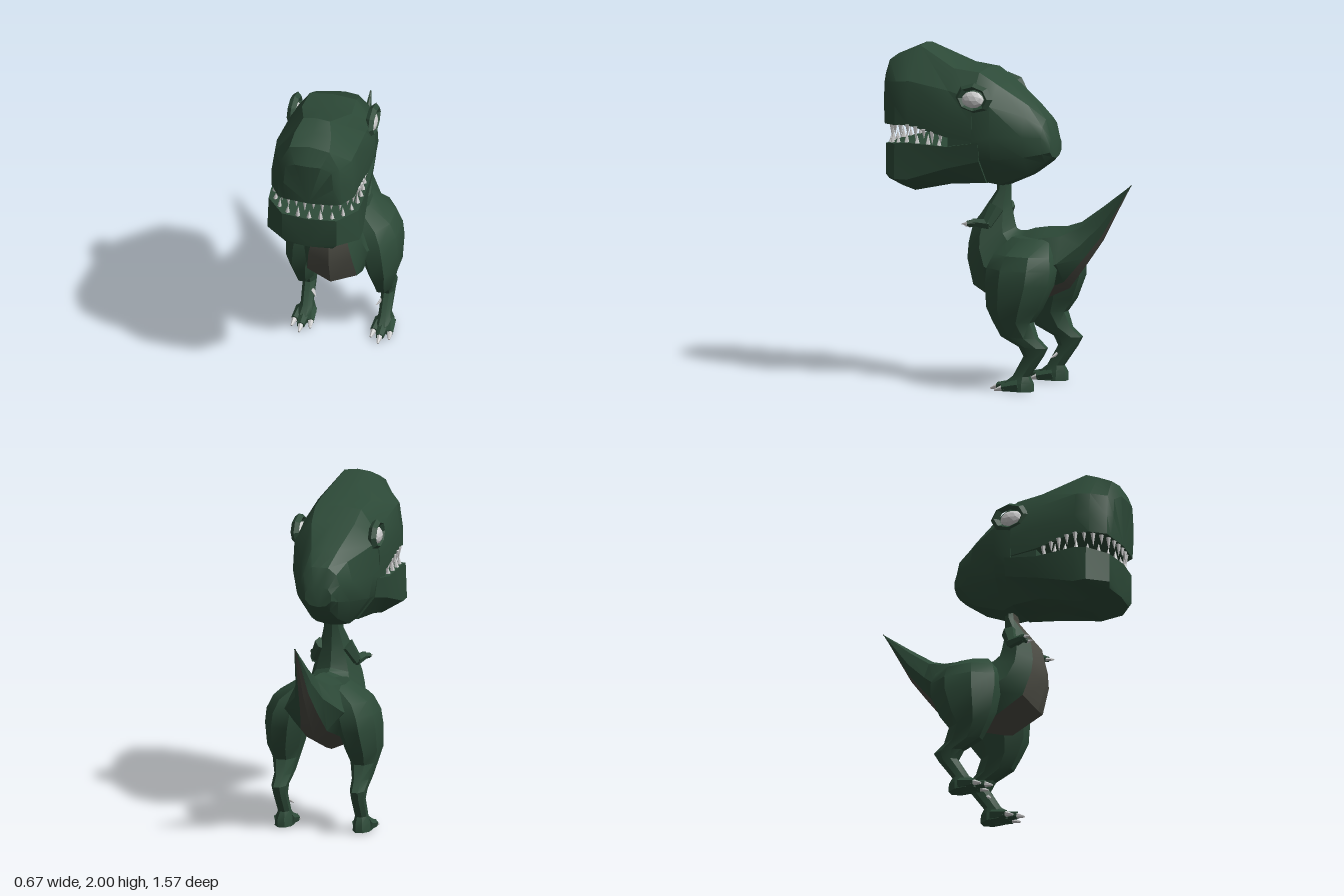
import * as THREE from 'three';
import { toCreasedNormals } from 'three/addons/utils/BufferGeometryUtils.js';

const skin = new THREE.MeshStandardMaterial({ color: 0x2d4a38, side: THREE.DoubleSide });
const bellySkin = new THREE.MeshStandardMaterial({ color: 0x4a4a42, side: THREE.DoubleSide });
const grey = new THREE.MeshStandardMaterial({ color: 0xcccccc, flatShading: true });

function add(parent, name, geometry, material) {
  const mesh = new THREE.Mesh(geometry, material);
  mesh.name = name;
  parent.add(mesh);
  return mesh;
}

// Skin over closed rings of [x, y, z]; keep(i) picks the columns to cover
function loft(rings, keep = () => true, caps = true) {
  const n = rings[0].length, index = [];
  for (let k = 0; k < rings.length - 1; k++) {
    for (let i = 0; i < n; i++) {
      if (!keep(i, n)) continue;
      const j = (i + 1) % n, a = k * n + i, b = k * n + j, c = b + n, d = a + n;
      index.push(a, b, c, a, c, d);
    }
  }
  if (caps) {
    const top = (rings.length - 1) * n;
    for (let i = 1; i < n - 1; i++) index.push(0, i + 1, i, top, top + i, top + i + 1);
  }
  const geo = new THREE.BufferGeometry();
  geo.setAttribute('position', new THREE.Float32BufferAttribute(rings.flat(2), 3));
  geo.setIndex(index);
  return toCreasedNormals(geo, 0.5);
}

// Full ring from a half outline running bottom centre -> +x side -> top centre
function mirrorRing(z, half) {
  const right = half.map(([x, y, pz = z]) => [x, y, pz]);
  const left = right.slice(1, -1).reverse().map(([x, y, pz]) => [-x, y, pz]);
  return [...right, ...left];
}

// Tapered segment between two points
function bone(parent, name, a, b, ra, rb, material, sides = 6) {
  const from = new THREE.Vector3(...a), dir = new THREE.Vector3(...b).sub(from);
  const geo = new THREE.CylinderGeometry(rb, ra, dir.length(), sides);
  const mesh = add(parent, name, material === grey ? geo : toCreasedNormals(geo, 0.5), material);
  mesh.position.copy(from).addScaledVector(dir, 0.5);
  mesh.quaternion.setFromUnitVectors(new THREE.Vector3(0, 1, 0), dir.normalize());
  return mesh;
}

function buildBody(parent) {
  // [belly z, belly y, back z, back y, half width, belly half width], tail tip to neck
  const rings = [
    [-0.775, 1.235, -0.785, 1.24, 0.004, 0.002],
    [-0.6, 0.9, -0.6, 1.1, 0.048, 0.03],
    [-0.5, 0.76, -0.46, 1.0, 0.085, 0.05],
    [-0.38, 0.6, -0.37, 0.97, 0.18, 0.08],
    [-0.25, 0.54, -0.25, 0.96, 0.22, 0.1],
    [-0.12, 0.48, -0.16, 0.945, 0.21, 0.12],
    [0, 0.44, -0.1, 0.925, 0.2, 0.14],
    [0.21, 0.56, -0.06, 0.925, 0.19, 0.15],
    [0.26, 0.73, -0.03, 0.94, 0.165, 0.13],
    [0.26, 0.83, -0.02, 0.97, 0.15, 0.11],
    [0.235, 0.95, -0.01, 1.03, 0.12, 0.09],
    [0.19, 1.01, 0, 1.08, 0.1, 0.06],
    [0.08, 1.16, 0.005, 1.18, 0.06, 0.045],
    [0.08, 1.25, 0, 1.25, 0.06, 0.045],
  ].map(([zb, yb, zt, yt, w, bw]) => mirrorRing(0,
    [[0, 0], [bw, 0.13], [w, 0.45], [w * 0.6, 0.87], [0, 1]]
      .map(([x, t]) => [x, yb + (yt - yb) * t, zb + (zt - zb) * t])));
  const isBelly = (i, n) => i === 0 || i === n - 1;
  add(parent, 'bodyAndTail', loft(rings, (i, n) => !isBelly(i, n)), skin);
  add(parent, 'belly', loft(rings, isBelly, false), bellySkin);
}

function buildHead(parent) {
  const head = new THREE.Group();
  head.name = 'head';
  parent.add(head);

  add(head, 'cranium', loft([
    mirrorRing(-0.29, [[0, 1.37], [0.05, 1.38], [0.08, 1.41], [0.08, 1.45], [0.06, 1.48], [0.03, 1.49], [0, 1.49]]),
    mirrorRing(-0.25, [[0, 1.33], [0.06, 1.34], [0.11, 1.4], [0.12, 1.5], [0.1, 1.56], [0.05, 1.6], [0, 1.6]]),
    mirrorRing(-0.15, [[0, 1.26], [0.08, 1.27], [0.155, 1.38], [0.17, 1.5], [0.14, 1.62], [0.08, 1.68], [0, 1.69]]),
    mirrorRing(0.03, [[0, 1.18], [0.1, 1.2], [0.22, 1.36], [0.245, 1.5], [0.235, 1.68], [0.13, 1.8], [0, 1.81]]),
    mirrorRing(0.14, [[0, 1.21], [0.13, 1.22], [0.235, 1.36], [0.255, 1.47], [0.24, 1.72], [0.14, 1.865], [0, 1.88]]),
  ]), skin);

  add(head, 'snout', loft([
    mirrorRing(0.14, [[0, 1.47], [0.25, 1.47], [0.255, 1.58], [0.24, 1.72], [0.14, 1.865], [0, 1.88]]),
    mirrorRing(0.3, [[0, 1.485], [0.255, 1.485], [0.26, 1.62], [0.235, 1.76], [0.15, 1.88], [0, 1.9]]),
    mirrorRing(0.55, [[0, 1.54], [0.255, 1.54], [0.26, 1.65], [0.24, 1.8], [0.08, 1.99], [0, 2.0]]),
    mirrorRing(0.64, [[0, 1.535], [0.25, 1.535], [0.25, 1.65], [0.23, 1.79], [0.11, 1.945], [0, 1.96]]),
    mirrorRing(0.73, [[0, 1.53], [0.19, 1.53], [0.19, 1.65], [0.18, 1.78], [0.12, 1.9], [0, 1.92]]),
    mirrorRing(0.77, [[0, 1.525, 0.755], [0.15, 1.525, 0.74], [0.15, 1.65, 0.755], [0.14, 1.77, 0.755], [0.08, 1.81, 0.775], [0, 1.81, 0.78]]),
  ]), skin);

  add(head, 'lowerJaw', loft([
    mirrorRing(0.1, [[0, 1.2], [0.13, 1.21], [0.235, 1.35], [0.25, 1.465], [0, 1.465]]),
    mirrorRing(0.3, [[0, 1.19], [0.17, 1.2], [0.25, 1.3], [0.265, 1.43], [0, 1.43]]),
    mirrorRing(0.55, [[0, 1.14], [0.15, 1.142], [0.278, 1.22], [0.275, 1.44], [0, 1.44]]),
    mirrorRing(0.63, [[0, 1.165], [0.15, 1.165], [0.278, 1.22], [0.27, 1.43], [0, 1.43]]),
    mirrorRing(0.74, [[0, 1.2], [0.14, 1.2, 0.725], [0.165, 1.23, 0.735], [0.165, 1.41, 0.735], [0, 1.41, 0.755]]),
  ]), skin);

  // Closed back of the mouth
  add(head, 'mouthInside', new THREE.BoxGeometry(0.48, 0.12, 0.2), skin).position.set(0, 1.455, 0.2);

  // Rows of teeth following the jaw edges
  const teeth = (name, count, y0, y1, y2, length) => {
    const half = [[0.24, y0, 0.32], [0.25, y1, 0.56], [0.2, y2, 0.67], [0.1, y2, 0.725]];
    const path = [...half, ...half.slice().reverse().map(([x, y, z]) => [-x, y, z])];
    const curve = new THREE.CatmullRomCurve3(path.map((p) => new THREE.Vector3(...p)));
    for (let i = 0; i < count; i++) {
      const { x, y, z } = curve.getPointAt((i + 0.5) / count);
      const l = length * (i % 2 ? 1 : 0.75);
      bone(head, name, [x, y, z], [x * 0.98, y + l, z], 0.016, 0.001, grey, 5);
    }
  };
  teeth('upperTooth', 22, 1.495, 1.545, 1.535, -0.08);
  teeth('lowerTooth', 17, 1.425, 1.435, 1.41, 0.065);

  // Eyes in angular sockets
  for (const s of [1, -1]) {
    const socket = add(head, 'eyeSocket', toCreasedNormals(new THREE.TorusGeometry(0.09, 0.025, 4, 8), 0.5), skin);
    socket.position.set(s * 0.236, 1.725, 0.13);
    socket.rotation.y = Math.PI / 2;
    socket.scale.set(1.05, 0.8, 1);
    const eye = add(head, 'eye', new THREE.IcosahedronGeometry(1, 1), grey);
    eye.scale.set(0.035, 0.052, 0.072);
    eye.position.set(s * 0.232, 1.715, 0.14);
  }
}

function buildLeg(parent, s) {
  const leg = new THREE.Group();
  leg.name = s > 0 ? 'leftLeg' : 'rightLeg';
  parent.add(leg);
  // [y, inner x, outer x, back z, front z], sole to hip
  const rings = [
    [0.01, 0.185, 0.29, -0.25, -0.08],
    [0.06, 0.19, 0.285, -0.25, -0.08],
    [0.1, 0.2, 0.27, -0.23, -0.13],
    [0.22, 0.2, 0.275, -0.315, -0.2],
    [0.275, 0.195, 0.283, -0.345, -0.17],
    [0.33, 0.185, 0.288, -0.28, -0.055],
    [0.42, 0.165, 0.31, -0.245, -0.005],
    [0.5, 0.14, 0.335, -0.3, 0.03],
    [0.64, 0.1, 0.337, -0.36, 0.045],
    [0.73, 0.08, 0.325, -0.37, 0.04],
    [0.81, 0.06, 0.285, -0.35, 0.01],
    [0.9, 0.03, 0.15, -0.3, -0.06],
  ].map(([y, x0, x1, z0, z1]) => Array.from({ length: 8 }, (_, i) => {
    const a = (i + 0.5) * Math.PI / 4, k = 0.5 / Math.cos(Math.PI / 8);
    return [s * (x0 + x1) / 2 + Math.cos(a) * (x1 - x0) * k, y, (z0 + z1) / 2 - Math.sin(a) * (z1 - z0) * k];
  }));
  add(leg, 'thighShinAndFoot', loft(rings), skin);

  // Three toes with claws, the middle one longest
  for (const [x, z] of [[0.192, -0.075], [0.238, -0.025], [0.285, -0.075]]) {
    bone(leg, 'toe', [s * (0.238 + (x - 0.238) * 0.5), 0.045, -0.17], [s * x, 0.03, z], 0.042, 0.024, skin);
    bone(leg, 'toeClaw', [s * x, 0.032, z - 0.015], [s * (x + (x - 0.238) * 0.2), 0.014, z + 0.045], 0.022, 0.006, grey);
  }
  bone(leg, 'dewClaw', [s * 0.21, 0.17, -0.2], [s * 0.18, 0.145, -0.17], 0.014, 0.002, grey, 5);
}

function buildArm(parent, s) {
  const arm = new THREE.Group();
  arm.name = s > 0 ? 'leftArm' : 'rightArm';
  parent.add(arm);
  bone(arm, 'upperArm', [s * 0.07, 1.06, 0.06], [s * 0.125, 0.96, 0.1], 0.05, 0.034, skin);
  bone(arm, 'forearm', [s * 0.12, 0.965, 0.085], [s * 0.15, 0.975, 0.18], 0.034, 0.024, skin);
  for (const [x, y] of [[0.138, 0.955], [0.175, 0.97]]) {
    bone(arm, 'finger', [s * 0.148, 0.975, 0.165], [s * x, y, 0.205], 0.022, 0.015, skin);
    bone(arm, 'fingerClaw', [s * x, y, 0.2], [s * (x + 0.006), y - 0.004, 0.235], 0.014, 0.003, grey, 5);
  }
}

export function createModel() {
  const model = new THREE.Group();
  model.name = 'dinosaur';
  buildBody(model);
  buildHead(model);
  for (const s of [1, -1]) {
    buildLeg(model, s);
    buildArm(model, s);
  }
  return model;
}
